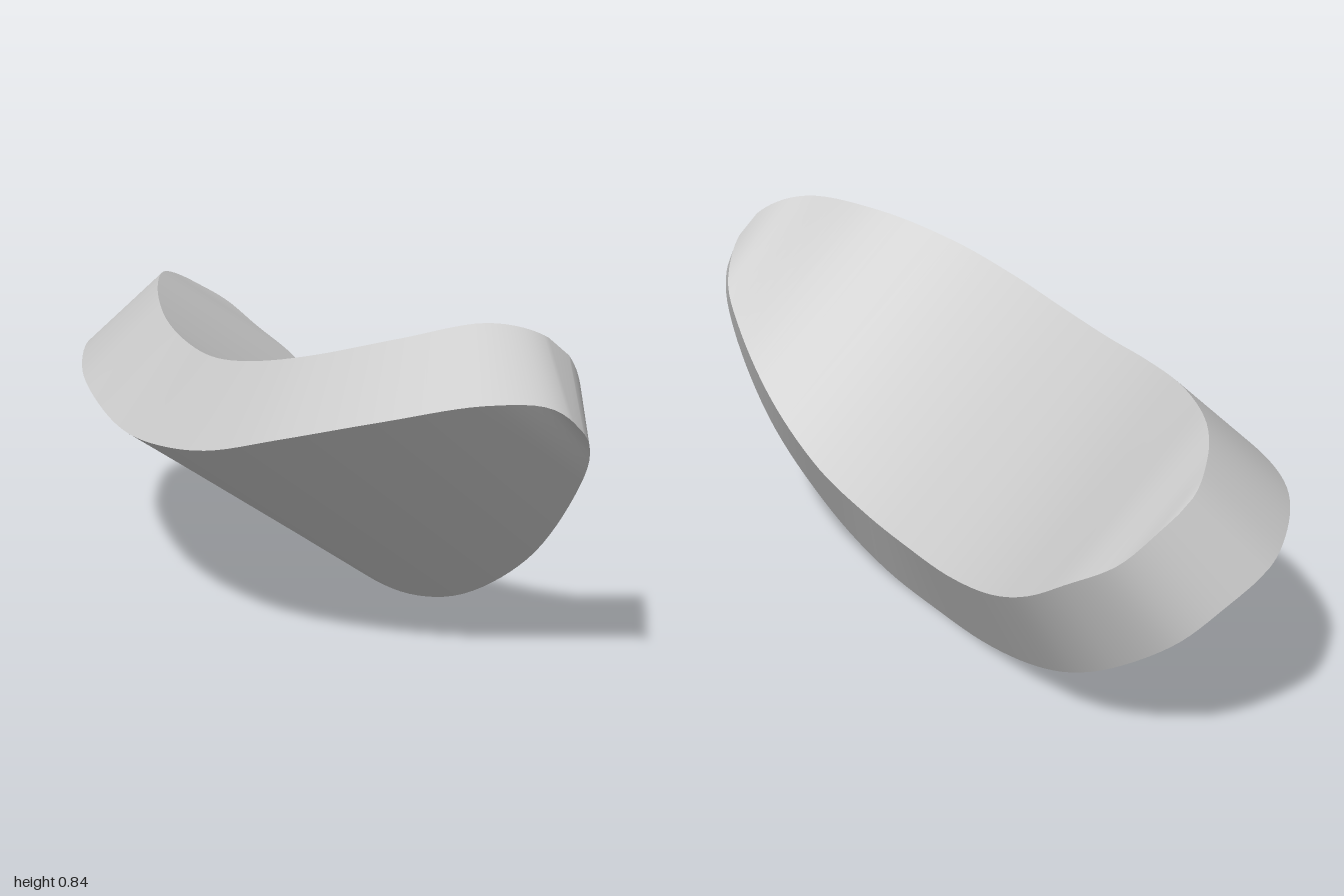
import * as THREE from 'three';

// Rim outlines, running along the front edge from the -x tip to the +x tip, then back along the rear edge
const TIP = 12; // index of the +x tip
const upperRim = [
  [-0.87, 0.60, -0.40], [-0.84, 0.645, -0.30], [-0.77, 0.675, -0.19], [-0.6, 0.675, -0.02], [-0.4, 0.655, 0.13],
  [-0.2, 0.645, 0.24], [0, 0.655, 0.33], [0.2, 0.69, 0.385], [0.4, 0.74, 0.395], [0.6, 0.80, 0.335],
  [0.75, 0.84, 0.22], [0.82, 0.815, 0.13], [0.84, 0.755, 0.05], [0.82, 0.65, -0.02], [0.75, 0.55, -0.06],
  [0.6, 0.40, -0.11], [0.4, 0.28, -0.165], [0.2, 0.225, -0.22], [0, 0.215, -0.30], [-0.2, 0.225, -0.39],
  [-0.4, 0.27, -0.485], [-0.55, 0.335, -0.55], [-0.66, 0.40, -0.57], [-0.78, 0.47, -0.545], [-0.84, 0.54, -0.49],
];
const lowerRim = [
  [-1, 0.43, -0.29], [-0.975, 0.465, -0.18], [-0.89, 0.495, -0.03], [-0.66, 0.485, 0.19], [-0.43, 0.463, 0.33],
  [-0.21, 0.455, 0.435], [0, 0.475, 0.51], [0.22, 0.515, 0.557], [0.45, 0.585, 0.56], [0.70, 0.66, 0.495],
  [0.88, 0.705, 0.37], [0.97, 0.695, 0.26], [1, 0.635, 0.19], [0.975, 0.57, 0.135], [0.90, 0.46, 0.085],
  [0.73, 0.265, 0.03], [0.48, 0.10, -0.03], [0.24, 0.022, -0.10], [0, 0, -0.18], [-0.22, 0.013, -0.275],
  [-0.44, 0.06, -0.375], [-0.61, 0.125, -0.45], [-0.74, 0.19, -0.475], [-0.89, 0.29, -0.465], [-0.96, 0.365, -0.41],
];

// Long axis of the pad; the curved faces are straight across it
const AXIS = new THREE.Vector3(0.9915, 0.0783, 0.1039);
const STEPS = 72;

// Samples front and rear edges at matching stations along the axis
function splitRim(points) {
  const curve = new THREE.CatmullRomCurve3(points.map((p) => new THREE.Vector3(...p)), true, 'centripetal');
  const tip = TIP / points.length;
  const u0 = curve.getPoint(0).dot(AXIS);
  const u1 = curve.getPoint(tip).dot(AXIS);
  const edge = (tStart, tEnd) => Array.from({ length: STEPS + 1 }, (_, i) => {
    if (i === 0) return curve.getPoint(tStart);
    if (i === STEPS) return curve.getPoint(tEnd);
    const u = u0 + (u1 - u0) * (1 - Math.cos(Math.PI * i / STEPS)) / 2;
    let a = tStart, b = tEnd;
    for (let k = 0; k < 30; k++) {
      const m = (a + b) / 2;
      if (curve.getPoint(m).dot(AXIS) < u) a = m; else b = m;
    }
    return curve.getPoint((a + b) / 2);
  });
  return { front: edge(0, tip), rear: edge(1, tip) };
}

// Smooth strip between two rows of points
function strip(rowA, rowB, closed = false) {
  const n = rowA.length;
  const index = [];
  for (let i = 0; i < (closed ? n : n - 1); i++) {
    const j = (i + 1) % n;
    index.push(i, j, n + j, i, n + j, n + i);
  }
  const geometry = new THREE.BufferGeometry().setFromPoints([...rowA, ...rowB]);
  geometry.setIndex(index);
  geometry.computeVertexNormals();
  return geometry;
}

export function createModel() {
  const group = new THREE.Group();
  group.name = 'curvedPad';
  const material = new THREE.MeshStandardMaterial({ color: 0xcccccc });
  const add = (name, geometry) => {
    const mesh = new THREE.Mesh(geometry, material);
    mesh.name = name;
    group.add(mesh);
  };

  const upper = splitRim(upperRim);
  const lower = splitRim(lowerRim);
  const loop = ({ front, rear }) => [...front, ...rear.slice(1, -1).reverse()];

  add('hollowFace', strip(upper.front, upper.rear));
  add('bulgedFace', strip(lower.rear, lower.front));
  add('sideWall', strip(loop(lower), loop(upper), true));
  return group;
}
